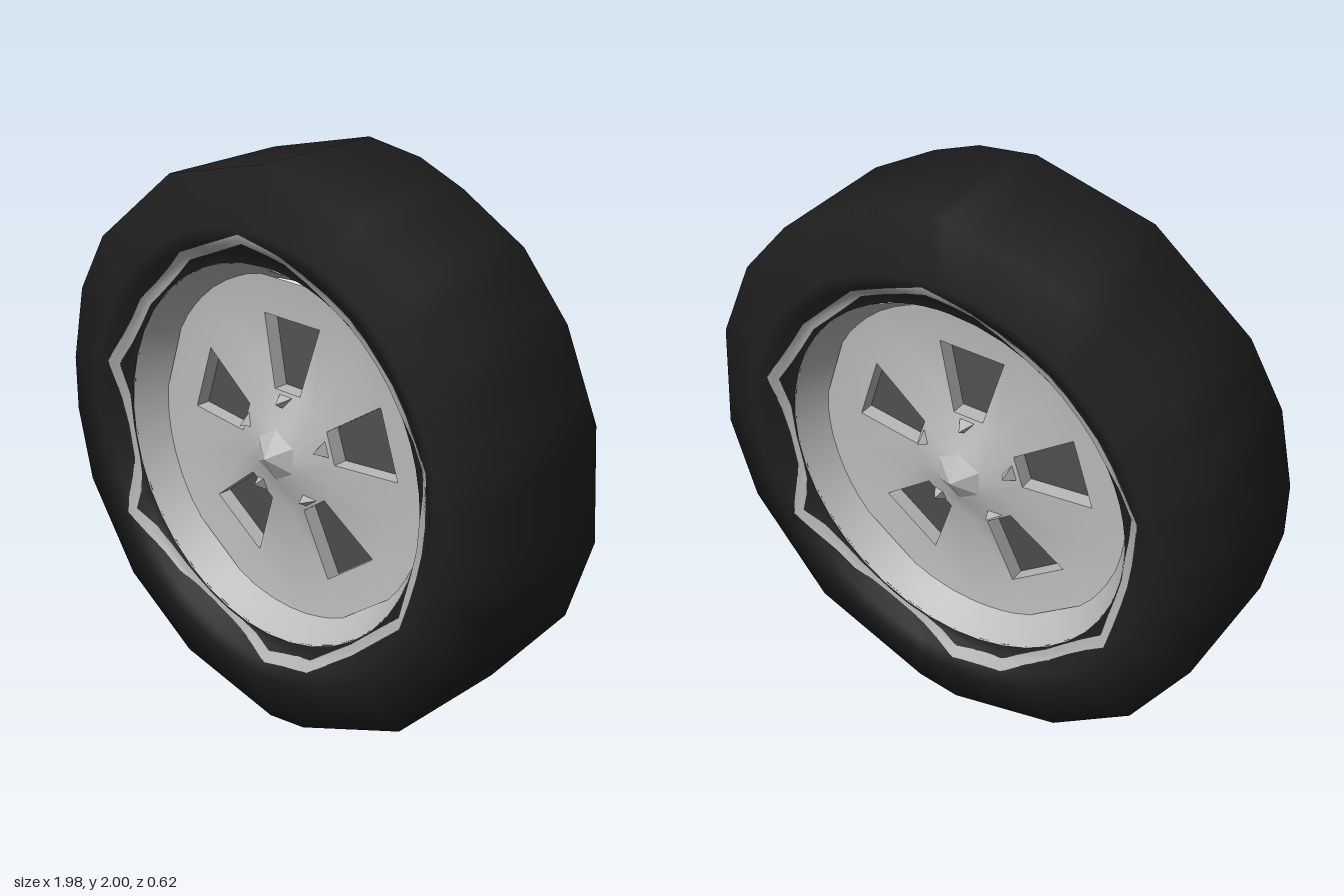
import * as THREE from 'three';

const mat = (name, color) => Object.assign(new THREE.MeshStandardMaterial({ color }), { name });
const V = (x, y, z) => new THREE.Vector3(x, y, z);
const polar = (deg, r, z) => V(r * Math.cos(deg * Math.PI / 180), r * Math.sin(deg * Math.PI / 180), z);

// Skin between successive rings of points (counter-clockwise seen from the front).
function loft(rings, { closed = true, flat = false, skip = () => false } = {}) {
  const n = rings[0].length, index = [];
  for (let i = 0; i < rings.length - 1; i++) {
    for (let j = 0; j < (closed ? n : n - 1); j++) {
      if (skip(i, j)) continue;
      const k = (j + 1) % n, a = i * n + j, b = a + n, c = (i + 1) * n + k, d = i * n + k;
      index.push(a, b, c, a, c, d);
    }
  }
  let g = new THREE.BufferGeometry().setFromPoints(rings.flat());
  g.setIndex(index);
  if (flat) g = g.toNonIndexed();
  g.computeVertexNormals();
  return g;
}

// Flat-shaded cone pointing forward
function spike(radius, height, sides) {
  const g = new THREE.ConeGeometry(radius, height, sides).toNonIndexed();
  g.rotateX(Math.PI / 2);
  g.computeVertexNormals();
  return g;
}

// Split each edge of a closed loop into equal pieces.
function subdivide(points, steps) {
  return points.flatMap((p, i) => {
    const q = points[(i + 1) % points.length];
    return Array.from({ length: steps }, (_, s) => p.clone().lerp(q, s / steps));
  });
}

// Sidewall profile from rim lip to shoulder: [radius, z]
const WALL = [[0.665, 0.245], [0.7, 0.255], [0.745, 0.293], [0.795, 0.31]];
function wallZ(r) {
  const i = WALL.findIndex(([wr]) => wr >= r);
  const [r1, z1] = WALL[i], [r0, z0] = WALL[Math.max(i - 1, 0)];
  return i === 0 ? z1 : THREE.MathUtils.mapLinear(r, r0, r1, z0, z1);
}

export function createModel() {
  const tyreMat = mat('tyre rubber', 0x1e1e1e);
  const rimMat = mat('rim metal', 0xbababa);
  const stripeMat = mat('sidewall stripe', 0xaeaeae);
  const windowMat = mat('wheel opening', 0x4e4e4e);

  const wheel = new THREE.Group();
  wheel.name = 'wheel';
  const add = (parent, name, geometry, material) => {
    const m = new THREE.Mesh(geometry, material);
    m.name = name;
    parent.add(m);
    return m;
  };

  // Tyre: uneven tread outline, sloping shoulders and dished sidewalls
  const tread = subdivide([
    [0.985, -0.15], [0.96, 0.25], [0.83, 0.55], [0.65, 0.76], [0.4, 0.9], [0.22, 0.97], [0, 1],
    [-0.44, 0.89], [-0.8, 0.6], [-0.93, 0.38], [-0.99, 0.1], [-0.99, -0.1], [-0.93, -0.37],
    [-0.72, -0.69], [-0.42, -0.9], [0, -1], [0.16, -0.98], [0.6, -0.8], [0.89, -0.45],
  ].map(([x, y]) => V(x, y, 0)), 3);
  const circle = (r, z) => tread.map(p => p.clone().setLength(r).setZ(z));
  const treadAt = z => tread.map(p => p.clone().setZ(z));
  add(wheel, 'tyre', loft([
    ...WALL.map(([r, z]) => circle(r, z)), treadAt(0.245),
    treadAt(-0.245), ...WALL.map(([r, z]) => circle(r, -z)).reverse(),
  ]), tyreMat);

  // One face of the wheel, used on both sides
  function wheelFace(name) {
    const face = new THREE.Group();
    face.name = name;

    // Wavy thin stripe on the sidewall: [angle, outer radius]
    const wave = subdivide([
      [15, 0.76], [37, 0.70], [57, 0.71], [81, 0.75], [94, 0.78], [118, 0.74], [143, 0.72],
      [167, 0.755], [197, 0.695], [211, 0.77], [233, 0.71], [253, 0.69], [272, 0.75],
      [288, 0.745], [305, 0.71], [329, 0.74], [351, 0.70],
    ].map(([a, r]) => polar(a, r, 0)), 3);
    const onWall = inset => wave.map(p => {
      const r = Math.max(p.length() - inset, 0.67);
      return p.clone().setLength(r).setZ(wallZ(r) + 0.006);
    });
    add(face, 'sidewallStripe', loft([0.036, 0.027, 0.018, 0.009, 0].map(onWall)), stripeMat);

    // Sloped rim wall
    const round = (r, z) => Array.from({ length: 40 }, (_, i) => polar(i * 9, r, z));
    add(face, 'rimWall', loft([round(0.58, 0.09), round(0.61, 0.145), round(0.668, 0.25)]), rimMat);

    // Disc rising to the hub, with five openings between the spokes
    const angles = [];
    for (let k = 0; k < 5; k++) for (const o of [-15.5, 15.5, 36]) angles.push(90 + k * 72 + o);
    const discRings = [[0, 0.21], [0.1, 0.205], [0.215, 0.148], [0.47, 0.125], [0.615, 0.14]]
      .map(([r, z]) => angles.map(a => polar(a, r, z)));
    add(face, 'spokedDisc', loft(discRings, { skip: (i, j) => i === 2 && j % 3 === 0 }), rimMat);

    for (let k = 0; k < 5; k++) {
      const j = k * 3, [inner, outer] = [discRings[2], discRings[3]];
      const edge = [inner[j], outer[j], outer[j + 1], inner[j + 1]];
      const floor = edge.map(p => p.clone().setZ(p.z - 0.055));
      add(face, 'openingWall', loft([floor, edge], { flat: true }), rimMat);
      add(face, 'opening', loft([[floor[0], floor[3]], [floor[1], floor[2]]], { closed: false }), windowMat);

      // Wheel nut at the narrow end of the opening
      const nut = add(face, 'wheelNut', spike(0.033, 0.05, 3), rimMat);
      nut.position.copy(polar(90 + k * 72, 0.18, 0.18));
      nut.rotation.z = k * 72 * Math.PI / 180;
    }

    // Faceted hub cap
    add(face, 'hubCap', spike(0.118, 0.07, 6), rimMat).position.z = 0.225;
    return face;
  }
  const back = wheelFace('backFace');
  back.rotation.y = Math.PI;
  wheel.add(wheelFace('frontFace'), back);

  wheel.position.y = 1;
  const model = new THREE.Group();
  model.name = 'wheelModel';
  model.add(wheel);
  return model;
}
